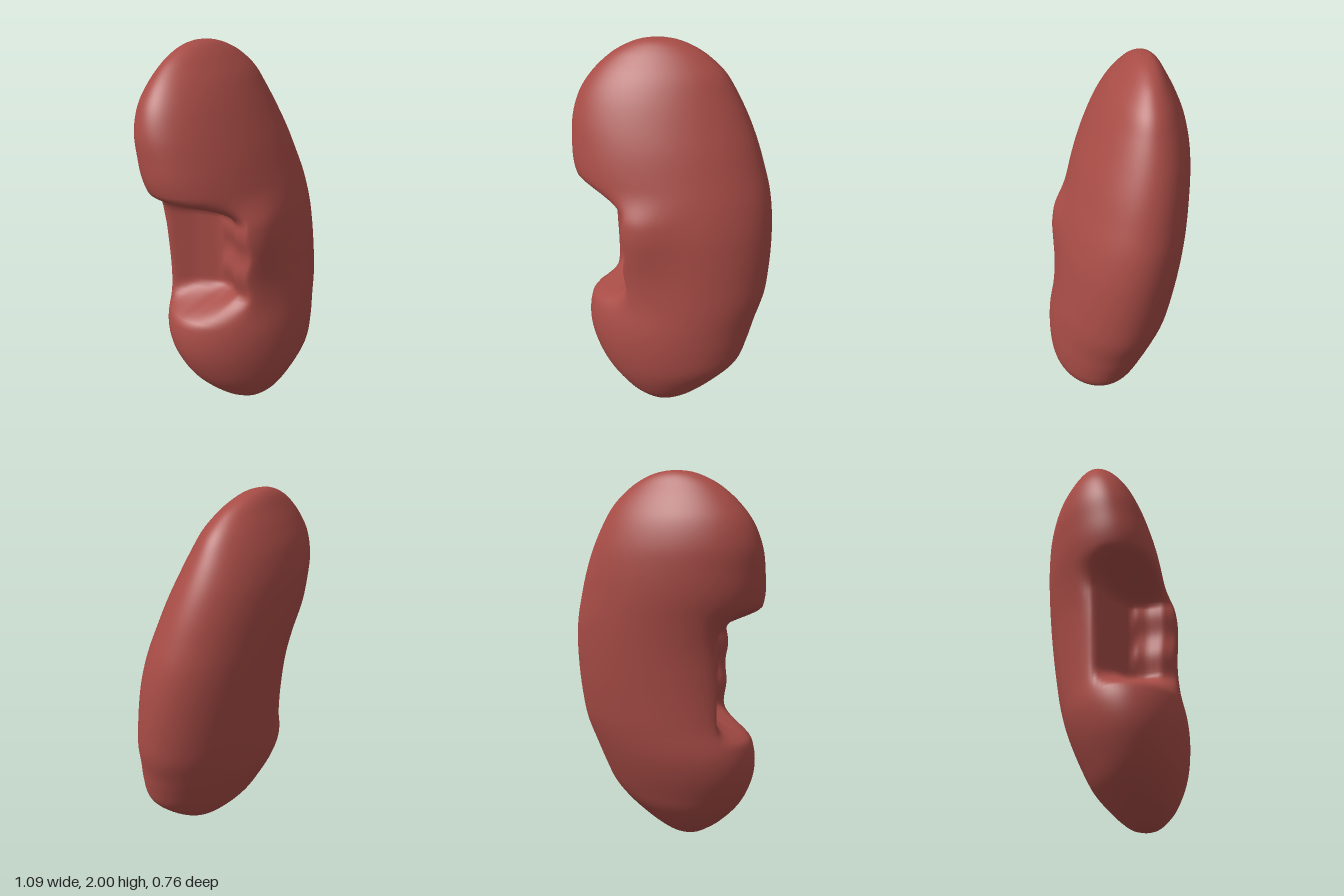
import * as THREE from 'three';

// Horizontal sections before the hollow is cut: y, left x, right x, back z, front z
const SECTIONS = [
  [0.000, -0.035, 0.045, 0.125, 0.19],
  [0.012, -0.075, 0.09, 0.085, 0.22],
  [0.04, -0.125, 0.15, 0.045, 0.255],
  [0.10, -0.21, 0.235, -0.02, 0.305],
  [0.20, -0.315, 0.345, -0.105, 0.35],
  [0.30, -0.385, 0.43, -0.16, 0.374],
  [0.42, -0.435, 0.468, -0.215, 0.382],
  [0.54, -0.445, 0.495, -0.26, 0.374],
  [0.68, -0.415, 0.53, -0.297, 0.348],
  [0.82, -0.41, 0.54, -0.322, 0.328],
  [0.96, -0.42, 0.54, -0.343, 0.314],
  [1.10, -0.44, 0.53, -0.36, 0.30],
  [1.24, -0.48, 0.505, -0.372, 0.277],
  [1.38, -0.53, 0.46, -0.378, 0.245],
  [1.50, -0.543, 0.415, -0.378, 0.21],
  [1.62, -0.543, 0.36, -0.368, 0.165],
  [1.74, -0.508, 0.295, -0.34, 0.11],
  [1.84, -0.44, 0.23, -0.298, 0.05],
  [1.92, -0.355, 0.14, -0.252, -0.015],
  [1.965, -0.28, 0.06, -0.222, -0.06],
  [1.99, -0.215, -0.01, -0.195, -0.095],
  [2.00, -0.16, -0.07, -0.172, -0.125],
];

// Hilum hollow seen from above: z, innermost x
const HOLLOW = [[-0.1, -0.365], [-0.02, -0.25], [0.08, -0.15], [0.16, -0.14], [0.24, -0.165], [0.3, -0.145], [0.4, -0.12]];

function hollowX(z) {
  if (z <= HOLLOW[0][0]) return HOLLOW[0][1];
  for (let i = 1; i < HOLLOW.length; i++) {
    const [z0, x0] = HOLLOW[i - 1], [z1, x1] = HOLLOW[i];
    if (z <= z1) return THREE.MathUtils.lerp(x0, x1, (z - z0) / (z1 - z0));
  }
  return -0.12;
}

function kidneyGeometry() {
  const spline = (pick) => new THREE.CatmullRomCurve3(SECTIONS.map(pick), false, 'catmullrom', 0.5);
  const leftBack = spline(([y, l, , b]) => new THREE.Vector3(l, y, b));
  const rightFront = spline(([y, , r, , f]) => new THREE.Vector3(r, y, f));
  const rows = (SECTIONS.length - 1) * 7, segs = 96;
  const positions = [], indices = [];
  const { smoothstep, clamp } = THREE.MathUtils;

  for (let i = 0; i <= rows; i++) {
    const p = leftBack.getPoint(i / rows), q = rightFront.getPoint(i / rows);
    const cx = (p.x + q.x) / 2, a = (q.x - p.x) / 2;
    const cz = (p.z + q.z) / 2, h = (q.z - p.z) / 2;
    const y = clamp(p.y, 0, 2);
    // The hollow only opens between the two lobes
    const open = smoothstep(y, 0.6, 0.76) * (1 - smoothstep(y, 1.15, 1.33));
    const ripple = 0.009 * Math.sin(y * 27);
    const swell = open * 0.04 * Math.exp(-(((y - 1.1) / 0.22) ** 2));
    // Sections twist: nearly level at the bottom, left side leaning forward higher up
    const lean = a * (0.05 + 0.12 * smoothstep(y, 0.3, 1.3));
    const bend = a * 0.05 * (1 - smoothstep(y, 0.5, 1.1));
    const depth = Math.sqrt(Math.max(h * h - lean * lean, h * h * 0.6));
    for (let j = 0; j < segs; j++) {
      const t = (j / segs) * Math.PI * 2, c = Math.cos(t), s = Math.sin(t);
      let x = cx + a * c;
      let z = cz + depth * s - lean * c - bend * c * c;
      const d = hollowX(z) + (z > 0.1 ? ripple : 0) - x;
      // Soft maximum rounds the lip
      if (open > 0 && x < cx) x += open * 0.5 * (d + Math.sqrt(d * d + 0.0006));
      // Front lip swells slightly
      if (s > 0) z += swell * s * Math.exp(-(((x + 0.08) / 0.16) ** 2));
      positions.push(x, y, z);
    }
  }
  for (let i = 0; i < rows; i++) {
    for (let j = 0; j < segs; j++) {
      const k = (j + 1) % segs;
      const v0 = i * segs + j, v1 = i * segs + k, v2 = v0 + segs, v3 = v1 + segs;
      indices.push(v0, v2, v1, v1, v2, v3);
    }
  }
  // Caps on the small end sections
  for (let j = 1; j < segs - 1; j++) {
    const top = rows * segs;
    indices.push(0, j, j + 1, top, top + j + 1, top + j);
  }
  const geometry = new THREE.BufferGeometry();
  geometry.setAttribute('position', new THREE.Float32BufferAttribute(positions, 3));
  geometry.setIndex(indices);
  geometry.computeVertexNormals();
  return geometry;
}

export function createModel() {
  const group = new THREE.Group();
  group.name = 'kidney';
  const tissue = new THREE.MeshStandardMaterial({ color: 0xa84c46 });
  tissue.name = 'kidney red';
  const body = new THREE.Mesh(kidneyGeometry(), tissue);
  body.name = 'kidneyBody';
  group.add(body);
  return group;
}
